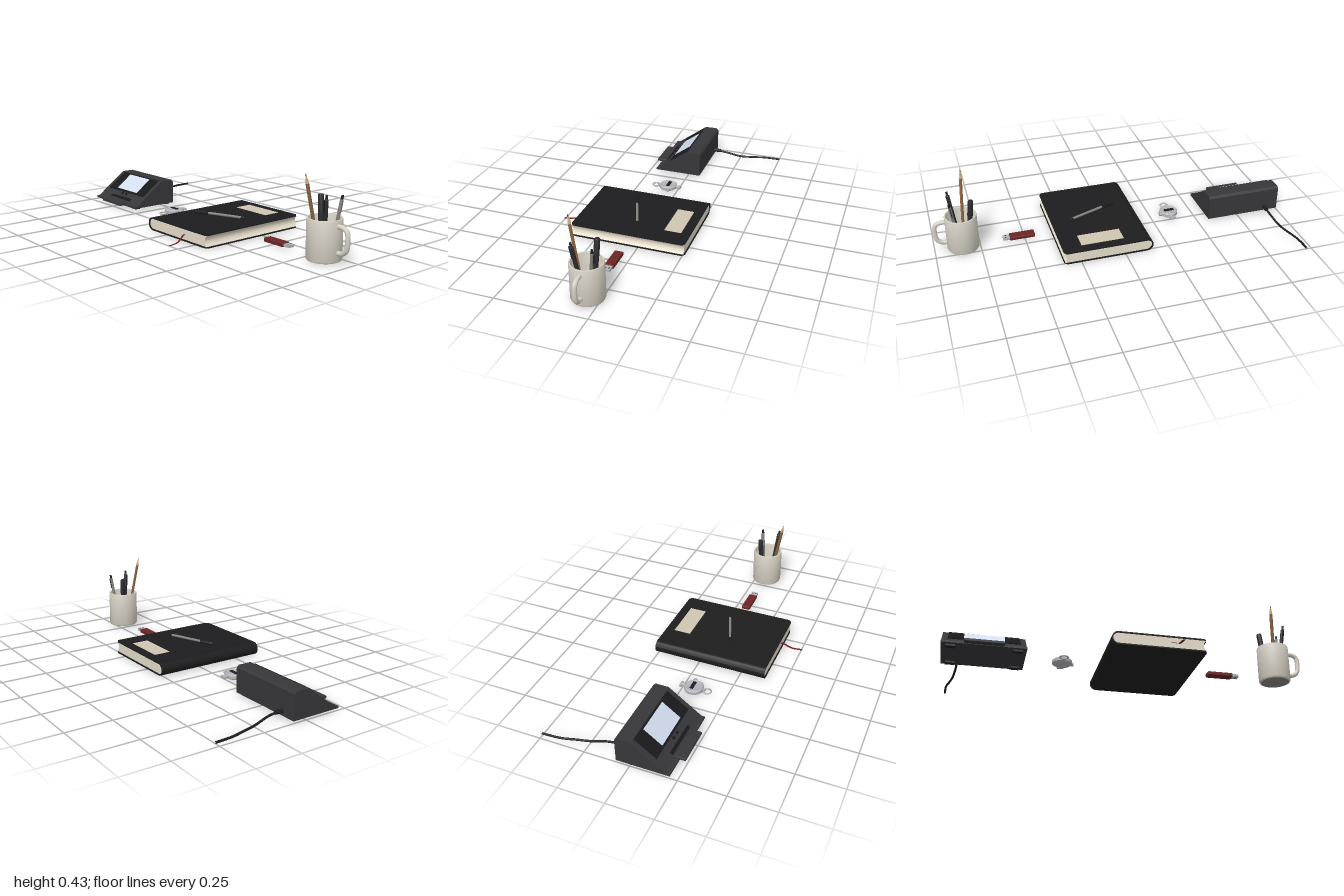
import * as THREE from 'three';
import { RoundedBoxGeometry } from 'three/addons/geometries/RoundedBoxGeometry.js';
import { toCreasedNormals } from 'three/addons/utils/BufferGeometryUtils.js';

const mat = (color, side = THREE.FrontSide) => new THREE.MeshStandardMaterial({ color, side });
const M = {
  black: mat(0x1d1d1f), shell: mat(0x37373a), panel: mat(0x1a1a1c), screen: mat(0xd3def0),
  metal: mat(0xb4b4b8), paper: mat(0xe6decb), label: mat(0xcfc5b2), red: mat(0x6b2424),
  ribbon: mat(0x6b2424, THREE.DoubleSide), mug: mat(0xd6d1c4), base: mat(0x85837f),
  wood: mat(0x8a6242), tip: mat(0xc9a67c), pen: mat(0x2b2b2e), grey: mat(0x86847f),
};
const V = (x, y, z) => new THREE.Vector3(x, y, z);
const vecs = list => list.map(p => new THREE.Vector2(...p));

function add(parent, name, geo, material, pos = [0, 0, 0]) {
  const m = new THREE.Mesh(geo, material);
  m.name = name;
  m.position.set(...pos);
  parent.add(m);
  return m;
}
function group(parent, name, pos = [0, 0, 0]) {
  const g = new THREE.Group();
  g.name = name;
  g.position.set(...pos);
  parent.add(g);
  return g;
}
const box = (w, h, d) => new THREE.BoxGeometry(w, h, d);
const cyl = (r, h, n = 32) => new THREE.CylinderGeometry(r, r, h, n);
const extrude = (shape, depth) => new THREE.ExtrudeGeometry(shape, { depth, bevelEnabled: false, curveSegments: 12 });
const lathe = (pts, n = 24, crease = 0.6) => toCreasedNormals(new THREE.LatheGeometry(vecs(pts), n), crease);
const tube = (pts, r, n = 40) => new THREE.TubeGeometry(new THREE.CatmullRomCurve3(pts.map(p => V(...p))), n, r, 12);

// Group whose local y axis runs from a towards b
function axis(parent, name, a, b) {
  const g = group(parent, name, a);
  g.quaternion.setFromUnitVectors(V(0, 1, 0), V(...b).sub(V(...a)).normalize());
  return g;
}

function createClock(root) {
  const g = group(root, 'deskClock');
  // Wedge body: profile in z, y run along x
  const wedge = new THREE.Shape(vecs([[-0.075, 0.01], [0.21, 0.01], [0.21, 0.02], [0.19, 0.022],
    [0.01, 0.155], [-0.063, 0.155], [-0.075, 0.143]]));
  add(g, 'clockBody', extrude(wedge, 0.435), M.shell, [-0.563, 0, 0]).rotation.y = -Math.PI / 2;
  // Parts on the sloped face
  const face = group(g, 'clockFace', [-0.78, 0.0885, 0.1]);
  face.rotation.x = Math.atan2(0.133, 0.18);
  add(face, 'facePanel', box(0.375, 0.006, 0.145), M.panel, [0, 0.001, -0.035]);
  add(face, 'screen', box(0.212, 0.006, 0.122), M.screen, [0, 0.003, -0.036]);
  for (const x of [-0.02, 0.02]) add(face, 'button', cyl(0.008, 0.008, 16), M.black, [x, 0.003, 0.052]);
  add(face, 'lipSlot', box(0.21, 0.004, 0.018), M.panel, [0, 0.001, 0.085]);
  add(g, 'frontTab', new RoundedBoxGeometry(0.205, 0.016, 0.06, 2, 0.004), M.shell, [-0.78, 0.02, 0.212]);
  for (const x of [-0.95, -0.61]) for (const z of [-0.045, 0.175])
    add(g, 'foot', box(0.05, 0.01, 0.03), M.black, [x, 0.005, z]);
  // Power cable with strain relief
  add(g, 'strainRelief', cyl(0.011, 0.045, 16), M.black, [-0.915, 0.035, -0.093]).rotation.x = Math.PI / 2;
  add(g, 'cable', tube([[-0.915, 0.035, -0.1], [-0.917, 0.028, -0.16], [-0.93, 0.009, -0.25],
    [-0.945, 0.007, -0.32], [-0.965, 0.007, -0.4], [-0.972, 0.007, -0.505]], 0.006), M.black);
}

function createCounter(root) {
  const g = group(root, 'handCounter', [-0.365, 0, 0.065]);
  add(g, 'counterCase', lathe([[0, 0], [0.045, 0], [0.053, 0.006], [0.053, 0.022], [0.045, 0.029],
    [0.04, 0.027], [0, 0.027]], 36), M.metal);
  add(g, 'window', box(0.058, 0.005, 0.019), M.black, [0, 0.028, -0.005]);
  const stem = add(g, 'stem', cyl(0.009, 0.025, 16), M.metal, [0, 0.015, -0.06]);
  stem.rotation.x = Math.PI / 2;
  add(g, 'thumbLever', box(0.038, 0.012, 0.013), M.metal, [0, 0.015, -0.073]);
  const knob = add(g, 'resetKnob', cyl(0.011, 0.014, 16), M.metal, [0.056, 0.015, -0.017]);
  knob.rotation.z = Math.PI / 2;
  add(g, 'ringLug', box(0.014, 0.012, 0.02), M.metal, [0, 0.013, 0.054]);
  add(g, 'ring', new THREE.TorusGeometry(0.021, 0.0045, 10, 32), M.metal, [0, 0.011, 0.077]).rotation.x = Math.PI / 2;
}

function createNotebook(root) {
  const g = group(root, 'notebook');
  // Cover boards with rounded outer corners
  const x0 = -0.122, x1 = 0.345, b = -0.39, t = 0.262, r = 0.025;
  const board = new THREE.Shape();
  board.moveTo(x0, b).lineTo(x1 - r, b);
  board.absarc(x1 - r, b + r, r, -Math.PI / 2, 0);
  board.lineTo(x1, t - r);
  board.absarc(x1 - r, t - r, r, 0, Math.PI / 2);
  board.lineTo(x0, t);
  for (const [name, y] of [['backCover', 0.001], ['frontCover', 0.066]])
    add(g, name, extrude(board, 0.007), M.black, [0, y, 0]).rotation.x = -Math.PI / 2;
  // Rounded spine, a half ring run along z
  const spine = new THREE.Shape();
  spine.absarc(x0, 0.037, 0.036, Math.PI / 2, Math.PI * 1.5);
  spine.absarc(x0, 0.037, 0.029, Math.PI * 1.5, Math.PI / 2, true);
  add(g, 'spine', toCreasedNormals(extrude(spine, 0.652), 0.6), M.black, [0, 0, -0.262]);
  // Page block with rounded back and hollow fore edge
  const pages = new THREE.Shape();
  pages.moveTo(x0, 0.008).lineTo(0.34, 0.008);
  pages.quadraticCurveTo(0.312, 0.037, 0.34, 0.066);
  pages.lineTo(x0, 0.066);
  pages.absarc(x0, 0.037, 0.029, Math.PI / 2, Math.PI * 1.5);
  add(g, 'pages', toCreasedNormals(extrude(pages, 0.64), 0.6), M.paper, [0, 0, -0.256]);
  add(g, 'hingeCrease', box(0.005, 0.001, 0.652), M.panel, [-0.122, 0.0732, 0.064]);
  add(g, 'coverLabel', box(0.24, 0.002, 0.096), M.label, [0.118, 0.074, -0.163]);
  // Ribbon bookmark: a strip swept down to the table
  const path = new THREE.CatmullRomCurve3([V(0.155, 0.037, 0.36), V(0.162, 0.035, 0.395), V(0.17, 0.02, 0.42),
    V(0.176, 0.007, 0.445), V(0.186, 0.003, 0.505)]);
  const strip = new THREE.PlaneGeometry(1, 1, 1, 20), p = strip.attributes.position;
  for (let i = 0; i < p.count; i++) {
    const c = path.getPoint(p.getY(i) + 0.5);
    p.setXYZ(i, c.x + p.getX(i) * 0.014, c.y, c.z);
  }
  strip.computeVertexNormals();
  add(g, 'ribbon', strip, M.ribbon);
  // Pen lying on the cover
  const pen = axis(g, 'loosePen', [-0.05, 0.084, 0.15], [0.24, 0.084, 0.04]);
  add(pen, 'penCap', lathe([[0, 0], [0.008, 0.002], [0.011, 0.012], [0.0115, 0.085], [0, 0.085]]), M.black);
  add(pen, 'penBarrel', lathe([[0, 0.08], [0.007, 0.08], [0.007, 0.292], [0, 0.292]]), M.grey);
  add(pen, 'penEnd', lathe([[0, 0.29], [0.0075, 0.29], [0.0075, 0.304], [0.005, 0.31], [0, 0.31]]), M.black);
  add(pen, 'penClip', box(0.004, 0.07, 0.004), M.black, [0, 0.045, 0.0125]);
}

function createStick(root) {
  const g = group(root, 'memoryStick', [0, 0.017, 0.065]);
  add(g, 'stickBody', new RoundedBoxGeometry(0.142, 0.022, 0.05, 3, 0.005), M.red, [0.514, 0, 0]);
  add(g, 'plug', box(0.04, 0.014, 0.038), M.metal, [0.602, 0, 0]);
  for (const z of [-0.009, 0.009]) add(g, 'plugHole', box(0.008, 0.0145, 0.007), M.black, [0.606, 0, z]);
}

function createMug(root) {
  const g = group(root, 'penMug', [0.842, 0, 0.067]);
  add(g, 'mugBody', lathe([[0.076, 0.001], [0.084, 0.004], [0.088, 0.012], [0.088, 0.206], [0.086, 0.211],
    [0.08, 0.211], [0.078, 0.206], [0.078, 0.016], [0.07, 0.01], [0, 0.01]], 48), M.mug);
  add(g, 'mugBase', cyl(0.077, 0.006, 48), M.base, [0, 0.004, 0]);
  add(g, 'mugHandle', tube([[0.08, 0.18, 0], [0.115, 0.179, 0], [0.14, 0.165, 0], [0.146, 0.12, 0],
    [0.138, 0.075, 0], [0.115, 0.055, 0], [0.08, 0.05, 0]], 0.0125), M.mug);

  // Pencil
  const pencil = axis(root, 'pencil', [0.836, 0.018, 0.092], [0.808, 0.43, 0.17]);
  const wood = new THREE.LatheGeometry(vecs([[0, 0], [0.009, 0], [0.009, 0.37]]), 6);
  add(pencil, 'pencilShaft', toCreasedNormals(wood, 0.3), M.wood);
  add(pencil, 'pencilCone', lathe([[0.009, 0.37], [0.003, 0.408]], 12), M.tip);
  add(pencil, 'pencilLead', lathe([[0.003, 0.408], [0, 0.42]], 12), M.pen);

  // Ballpoint with push button and clip
  const ball = axis(root, 'ballpoint', [0.855, 0.018, 0.085], [0.897, 0.335, 0.12]);
  add(ball, 'barrel', lathe([[0, 0], [0.009, 0.03], [0.0105, 0.1], [0.0105, 0.295], [0.006, 0.302],
    [0.006, 0.32], [0, 0.322]]), M.pen);
  add(ball, 'clip', box(0.005, 0.07, 0.004), M.black, [0, 0.262, 0.0125]);

  // Thick marker
  const marker = axis(root, 'marker', [0.812, 0.018, 0.05], [0.781, 0.31, 0.034]);
  add(marker, 'markerBody', lathe([[0, 0], [0.014, 0], [0.014, 0.2], [0.0155, 0.2], [0.0145, 0.288],
    [0.012, 0.293], [0, 0.293]]), M.pen);

  // Slim grey pen with dark end
  const slim = axis(root, 'slimPen', [0.86, 0.018, 0.045], [0.899, 0.32, 0.01]);
  add(slim, 'slimBarrel', lathe([[0, 0], [0.0085, 0.02], [0.0085, 0.285], [0, 0.285]]), M.grey);
  add(slim, 'slimEnd', lathe([[0, 0.285], [0.007, 0.285], [0.006, 0.305], [0, 0.307]]), M.black);
  add(slim, 'slimClip', box(0.004, 0.06, 0.004), M.black, [0, 0.25, -0.0105]);
}

export function createModel() {
  const root = new THREE.Group();
  root.name = 'deskItems';
  createClock(root);
  createCounter(root);
  createNotebook(root);
  createStick(root);
  createMug(root);
  return root;
}
